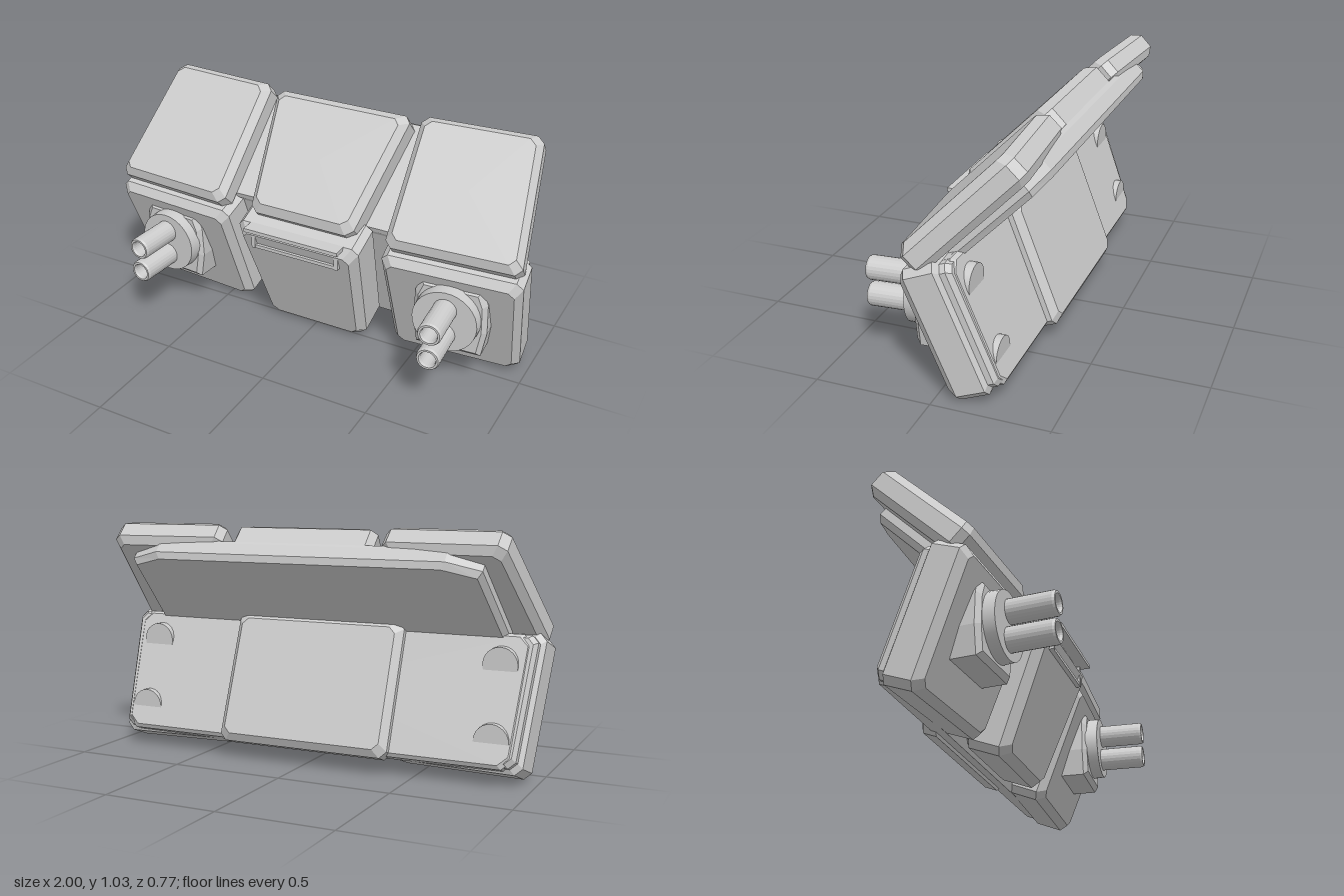
import * as THREE from 'three';

const LOWER_TILT = THREE.MathUtils.degToRad(21);
const UPPER_TILT = THREE.MathUtils.degToRad(-45);
const YAW = THREE.MathUtils.degToRad(4);
const SIDE_X = 0.69;

// Trapezoid outline with cut corners, counter-clockwise
function outline(bottomL, bottomR, topL, topR, low, high, cutX, cutY = cutX) {
  const t = cutY / (high - low);
  const mix = (a, b, k) => a + (b - a) * k;
  return [
    [bottomL + cutX, low], [bottomR - cutX, low],
    [mix(bottomR, topR, t), low + cutY], [mix(topR, bottomR, t), high - cutY],
    [topR - cutX, high], [topL + cutX, high],
    [mix(topL, bottomL, t), high - cutY], [mix(bottomL, topL, t), low + cutY],
  ];
}

// Block lofted through [depth, inset] layers, listed front to back
function loft(points, layers, side = 1) {
  const poly = points.map(([x, y]) => [x * side, y]);
  if (side < 0) poly.reverse();
  const xs = poly.map(p => p[0]), ys = poly.map(p => p[1]);
  const minX = Math.min(...xs), maxX = Math.max(...xs);
  const minY = Math.min(...ys), maxY = Math.max(...ys);
  const cx = (minX + maxX) / 2, cy = (minY + maxY) / 2;
  const rings = layers.map(([z, inset]) => poly.map(([x, y]) => [
    cx + (x - cx) * (1 - 2 * inset / (maxX - minX)),
    cy + (y - cy) * (1 - 2 * inset / (maxY - minY)), z]));
  const pos = [], n = poly.length;
  const tri = (a, b, c) => pos.push(...a, ...b, ...c);
  const first = rings[0], last = rings[rings.length - 1];
  for (let i = 0; i < n; i++) {
    const j = (i + 1) % n;
    tri([cx, cy, first[0][2]], first[i], first[j]);
    tri([cx, cy, last[0][2]], last[j], last[i]);
    for (let k = 0; k < rings.length - 1; k++) {
      const f = rings[k], b = rings[k + 1];
      tri(f[i], b[i], b[j]);
      tri(f[i], b[j], f[j]);
    }
  }
  const geo = new THREE.BufferGeometry();
  geo.setAttribute('position', new THREE.Float32BufferAttribute(pos, 3));
  geo.computeVertexNormals();
  return geo;
}

export function createModel() {
  const model = new THREE.Group();
  model.name = 'hingedCase';
  const grey = new THREE.MeshStandardMaterial({ color: 0xcccccc });
  grey.name = 'lightGrey';

  const add = (parent, name, geo, x = 0, y = 0, z = 0) => {
    const mesh = new THREE.Mesh(geo, grey);
    mesh.name = name;
    mesh.position.set(x, y, z);
    parent.add(mesh);
    return mesh;
  };
  const tilted = (parent, name, angle) => {
    const g = new THREE.Group();
    g.name = name;
    g.rotation.x = angle;
    parent.add(g);
    return g;
  };
  const lower = tilted(model, 'lowerHalf', LOWER_TILT);
  const upper = tilted(model, 'upperHalf', UPPER_TILT);

  // Backing plates
  add(lower, 'lowerBasePlate', loft(outline(-0.92, 0.92, -0.95, 0.95, -0.02, 0.54, 0.04),
    [[-0.19, 0], [-0.275, 0], [-0.29, 0.015]]));
  add(lower, 'lowerBackPanel', loft(outline(-0.4, 0.4, -0.4, 0.4, -0.035, 0.55, 0.03),
    [[-0.25, 0], [-0.313, 0], [-0.343, 0.03]]));
  add(upper, 'upperBackPanel', loft(outline(-0.85, 0.85, -0.81, 0.81, 0.39, 0.91, 0.14, 0.05),
    [[0.46, 0.01], [0.44, 0], [0.38, 0], [0.355, 0.02]]));

  // Centre blocks
  add(lower, 'lowerCentreBlock', loft(outline(-0.25, 0.25, -0.3, 0.3, -0.01, 0.6, 0.03),
    [[0.015, 0.035], [-0.025, 0], [-0.17, 0], [-0.185, 0.02], [-0.25, 0.02]]));
  add(upper, 'upperCentreBlock', loft(outline(-0.25, 0.25, -0.335, 0.335, 0.315, 0.9, 0.03),
    [[0.58, 0.035], [0.545, 0], [0.45, 0], [0.42, 0.025]]));

  // Latch under the centre lid
  add(model, 'latchLip', new THREE.BoxGeometry(0.46, 0.017, 0.1), 0, 0.562, 0.205);
  add(model, 'latchBar', new THREE.BoxGeometry(0.43, 0.016, 0.04), 0, 0.467, 0.192);
  for (const s of [-1, 1])
    add(model, 'latchPost', new THREE.BoxGeometry(0.018, 0.1, 0.04), s * 0.206, 0.509, 0.195);

  // Hollow tube with chamfered rim, along +z
  const tubeGeo = new THREE.LatheGeometry([
    [0.052, 0], [0.052, 0.2], [0.047, 0.21], [0.038, 0.21], [0.034, 0.2], [0.034, 0.06], [0, 0.06],
  ].map(p => new THREE.Vector2(...p)), 24).toNonIndexed().rotateX(Math.PI / 2);
  tubeGeo.computeVertexNormals();

  for (const s of [-1, 1]) {
    // Each side assembly turns slightly outward
    const side = new THREE.Group();
    side.name = s > 0 ? 'leftSide' : 'rightSide';
    side.position.x = s * SIDE_X;
    side.rotation.y = s * YAW;
    model.add(side);
    const low = tilted(side, 'lowerSide', LOWER_TILT);
    const up = tilted(side, 'upperSide', UPPER_TILT);

    add(low, 'lowerSideBlock', loft(outline(-0.305, 0.28, -0.315, 0.305, -0.025, 0.565, 0.03),
      [[-0.05, 0.03], [-0.085, 0], [-0.21, 0], [-0.225, 0.02], [-0.25, 0.02], [-0.27, 0.035]], s));
    add(up, 'upperSideBlock', loft(outline(-0.3, 0.295, -0.295, 0.24, 0.33, 0.935, 0.03),
      [[0.555, 0.03], [0.52, 0], [0.45, 0], [0.42, 0.03]], s));

    // Mount, flange and twin tubes
    add(side, 'tubeMount', loft([[-0.14, 0.16], [0.15, 0.16], [0.17, 0.28], [0.165, 0.42],
      [0.14, 0.482], [-0.13, 0.482], [-0.155, 0.42], [-0.16, 0.28]],
      [[0.135, 0.02], [0.115, 0], [-0.1, 0]], s));
    add(side, 'tubeFlange', new THREE.CylinderGeometry(0.143, 0.147, 0.07, 32).rotateX(Math.PI / 2),
      0, 0.335, 0.15);
    for (const y of [0.275, 0.395]) add(side, 'tube', tubeGeo, 0, y, 0.177);

    // Round feet emerging from the sloping back
    for (const [y, z] of [[0.48, -0.135], [0.183, -0.242]])
      add(model, 'rearFoot', new THREE.CylinderGeometry(0.075, 0.075, 0.1, 24).rotateX(Math.PI / 2),
        s * 0.83, y, z + 0.05);
  }
  return model;
}
